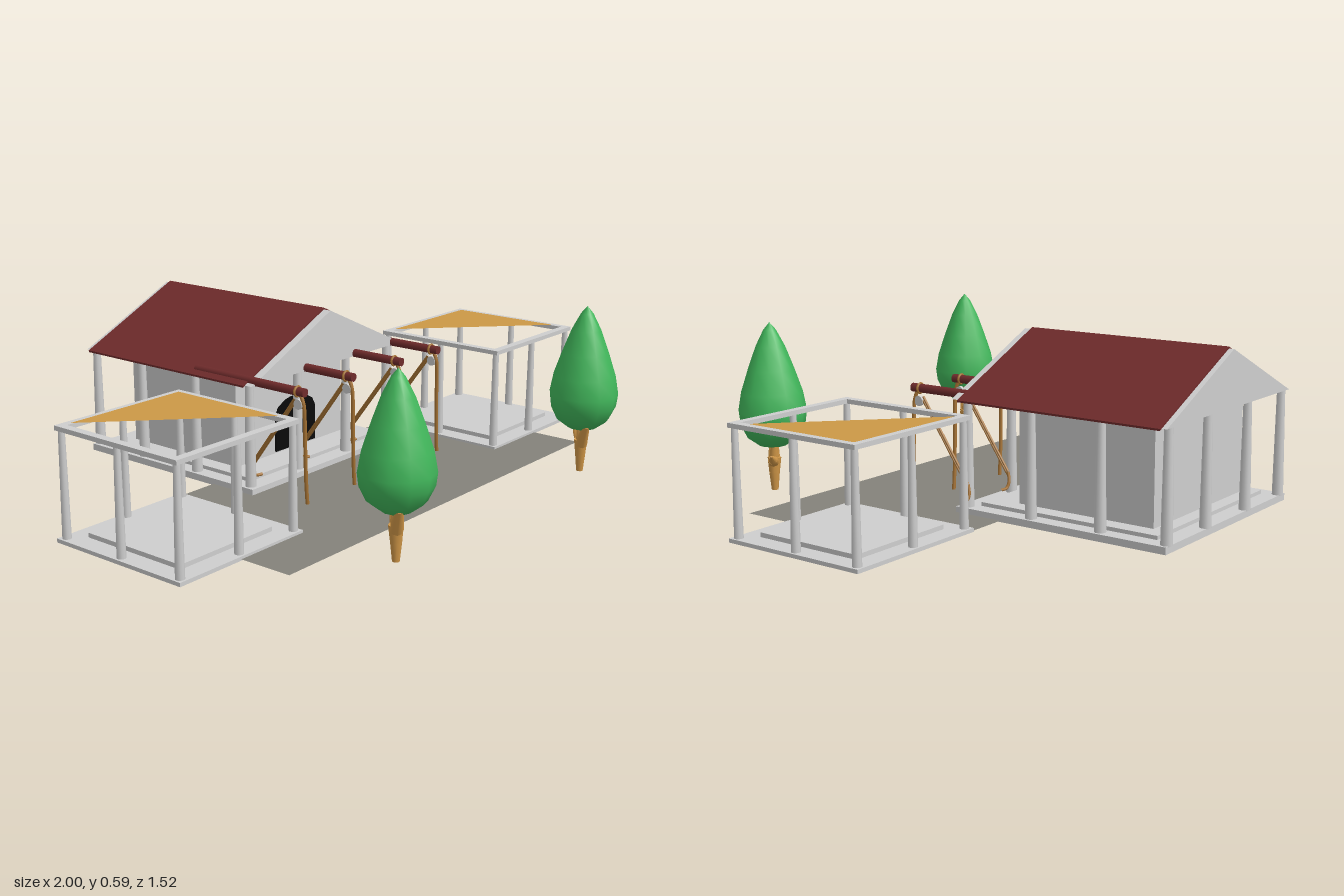
import * as THREE from 'three';

const mat = (name, color, side = THREE.FrontSide) => {
  const m = new THREE.MeshStandardMaterial({ color, side });
  m.name = name;
  return m;
};

export function createModel() {
  const stone = mat('pale stone', 0xcecece);
  const paving = mat('grey paving', 0x84827b, THREE.DoubleSide);
  const red = mat('dark red', 0x6e2b2b);
  const black = mat('black', 0x0a0a0a);
  const cloth = mat('ochre cloth', 0xcc9846, THREE.DoubleSide);
  const wood = mat('light wood', 0xd29848);
  const ropeMat = mat('brown rope', 0xa87434);
  const green = mat('leaf green', 0x41b75b);

  const model = new THREE.Group();
  model.name = 'templeCourtyard';

  const add = (parent, name, geo, material, x = 0, y = 0, z = 0) => {
    const m = new THREE.Mesh(geo, material);
    m.name = name;
    m.position.set(x, y, z);
    parent.add(m);
    return m;
  };
  const group = (name, x = 0, y = 0, z = 0) => {
    const g = new THREE.Group();
    g.name = name;
    g.position.set(x, y, z);
    model.add(g);
    return g;
  };
  // box given by its limits on each axis
  const block = (parent, name, material, x0, x1, y0, y1, z0, z1) =>
    add(parent, name, new THREE.BoxGeometry(x1 - x0, y1 - y0, z1 - z0), material,
      (x0 + x1) / 2, (y0 + y1) / 2, (z0 + z1) / 2);
  const post = (parent, x, z, y0, y1, rTop, rBase) =>
    add(parent, 'post', new THREE.CylinderGeometry(rTop, rBase, y1 - y0, 10), stone, x, (y0 + y1) / 2, z);
  // tapered limb between two points
  const limb = (parent, name, material, a, b, r0, r1, sides = 8) => {
    const p = new THREE.Vector3(...a), q = new THREE.Vector3(...b), d = q.clone().sub(p);
    const m = add(parent, name, new THREE.CylinderGeometry(r1, r0, d.length(), sides), material);
    m.position.copy(p).add(q).multiplyScalar(0.5);
    m.quaternion.setFromUnitVectors(new THREE.Vector3(0, 1, 0), d.normalize());
    return m;
  };
  const rope = (parent, name, points, r) => add(parent, name, new THREE.TubeGeometry(
    new THREE.CatmullRomCurve3(points.map((p) => new THREE.Vector3(...p))), 20, r, 6), ropeMat);

  // Courtyard paving
  const ground = add(model, 'courtyard', new THREE.PlaneGeometry(1.525, 0.67), paving, -0.002, 0.044, 0.15);
  ground.rotation.x = -Math.PI / 2;

  // Temple platform, chamber and doorway
  const temple = group('temple', 0.005);
  block(temple, 'platform', stone, -0.37, 0.37, 0.04, 0.062, -0.757, -0.015);
  block(temple, 'upperStep', stone, -0.32, 0.32, 0.062, 0.074, -0.70, -0.075);
  block(temple, 'chamber', stone, -0.265, 0.265, 0.07, 0.398, -0.655, -0.18);
  const arch = new THREE.Shape();
  arch.moveTo(-0.1, 0);
  arch.lineTo(0.1, 0);
  for (const [x, y] of [[0.1, 0.12], [0.085, 0.148], [0.05, 0.168], [0.02, 0.174]]) arch.lineTo(x, y);
  for (const [x, y] of [[-0.02, 0.174], [-0.05, 0.168], [-0.085, 0.148], [-0.1, 0.12]]) arch.lineTo(x, y);
  add(temple, 'doorway', new THREE.ExtrudeGeometry(arch, { depth: 0.006, bevelEnabled: false }),
    black, 0.02, 0.08, -0.18);

  // Temple colonnade, four posts along every side
  const px = [-0.345, -0.12, 0.125, 0.345], pz = [-0.745, -0.525, -0.28, -0.045];
  px.forEach((x, i) => pz.forEach((z, j) => {
    if (i % 3 === 0 || j % 3 === 0) post(temple, x, z, 0.06, 0.398, 0.013, 0.018);
  }));

  // Gable block and two roof slabs
  const gable = new THREE.Shape();
  gable.moveTo(-0.376, 0.396);
  gable.lineTo(0.376, 0.396);
  gable.lineTo(0, 0.57);
  add(temple, 'gable', new THREE.ExtrudeGeometry(gable, { depth: 0.75, bevelEnabled: false }),
    stone, 0, 0, -0.757);
  for (const s of [-1, 1]) {
    const slab = new THREE.Shape();
    slab.moveTo(0, 0.569);
    slab.lineTo(s * 0.385, 0.391);
    slab.lineTo(s * 0.385, 0.397);
    slab.lineTo(0, 0.576);
    add(temple, 'roofSlope', new THREE.ExtrudeGeometry(slab, { depth: 0.705, bevelEnabled: false }),
      red, 0, 0, -0.74);
  }

  // Hoists: red beam, pulley and hanging ropes with hooks
  for (const x of [-0.345, -0.115, 0.132, 0.335]) {
    const h = group('hoist', x);
    limb(h, 'beam', red, [0, 0.406, -0.265], [0, 0.406, 0.185], 0.014, 0.014, 10);
    add(h, 'beamCollar', new THREE.TorusGeometry(0.015, 0.004, 6, 14), ropeMat, 0, 0.406, 0.155);
    const pulley = add(h, 'pulley', new THREE.CylinderGeometry(0.016, 0.016, 0.012, 14), stone, 0.002, 0.366, 0.158);
    pulley.rotation.z = Math.PI / 2;
    rope(h, 'hangingRope', [[0, 0.4, 0.165], [0.004, 0.37, 0.175], [0.012, 0.25, 0.173],
      [0.022, 0.12, 0.168], [0.032, 0.035, 0.165]], 0.006);
    rope(h, 'ropeHook', [[0.032, 0.035, 0.165], [0.042, 0.022, 0.165], [0.044, 0.01, 0.155],
      [0.036, 0.005, 0.147]], 0.005);
    for (const o of [-0.006, 0.006]) {
      rope(h, 'haulingRope', [[0.002, 0.375 + o, 0.142], [0.015, 0.26 + o, 0.05], [0.03, 0.13 + o, -0.055]], 0.004);
    }
    rope(h, 'haulingHook', [[0.03, 0.135, -0.055], [0.034, 0.105, -0.062], [0.045, 0.085, -0.06],
      [0.068, 0.082, -0.055]], 0.005);
  }

  // Open pavilions on both sides
  for (const x of [-0.752, 0.752]) {
    const p = group('pavilion', x, 0, 0.0625);
    block(p, 'floor', stone, -0.248, 0.248, 0.04, 0.052, -0.248, 0.248);
    block(p, 'floorStep', stone, -0.185, 0.185, 0.052, 0.066, -0.185, 0.185);
    for (const i of [-1, 0, 1]) for (const j of [-1, 0, 1]) {
      if (i || j) post(p, i * 0.228, j * 0.228, 0.05, 0.378, 0.01, 0.014);
    }
    for (const s of [-1, 1]) {
      block(p, 'topBeam', stone, -0.242, 0.242, 0.374, 0.388, s * 0.229 - 0.013, s * 0.229 + 0.013);
      block(p, 'topBeam', stone, s * 0.229 - 0.013, s * 0.229 + 0.013, 0.374, 0.388, -0.216, 0.216);
    }
    // triangular awning over the rear corner
    const sail = new THREE.Shape();
    sail.moveTo(-0.2, 0.222);
    sail.lineTo(0.222, -0.178);
    sail.lineTo(0.222, 0.222);
    add(p, 'awning', new THREE.ShapeGeometry(sail), cloth, 0, 0.389, 0).rotation.x = -Math.PI / 2;
  }

  // Trees with forked trunks
  const profile = [[0, 0.187], [0.045, 0.192], [0.085, 0.222], [0.106, 0.265], [0.111, 0.305], [0.1, 0.365],
    [0.075, 0.44], [0.047, 0.515], [0.02, 0.568], [0, 0.592]].map(([r, y]) => new THREE.Vector2(r, y));
  for (const x of [-0.5, 0.5]) {
    const t = group('tree', x, 0, 0.643);
    add(t, 'crown', new THREE.LatheGeometry(profile, 11), green);
    limb(t, 'trunk', wood, [0, 0.042, 0], [0, 0.1, 0], 0.011, 0.017);
    limb(t, 'trunk', wood, [0, 0.1, 0], [-0.002, 0.15, 0], 0.017, 0.022);
    limb(t, 'branch', wood, [-0.004, 0.135, 0.004], [-0.035, 0.21, 0.035], 0.02, 0.013);
    limb(t, 'branch', wood, [0.002, 0.135, 0], [0.045, 0.153, -0.04], 0.019, 0.014);
    limb(t, 'branch', wood, [0.04, 0.15, -0.036], [0.092, 0.18, -0.084], 0.014, 0.003);
    limb(t, 'branch', wood, [0, 0.14, 0], [0.005, 0.21, -0.01], 0.016, 0.01);
  }
  return model;
}
